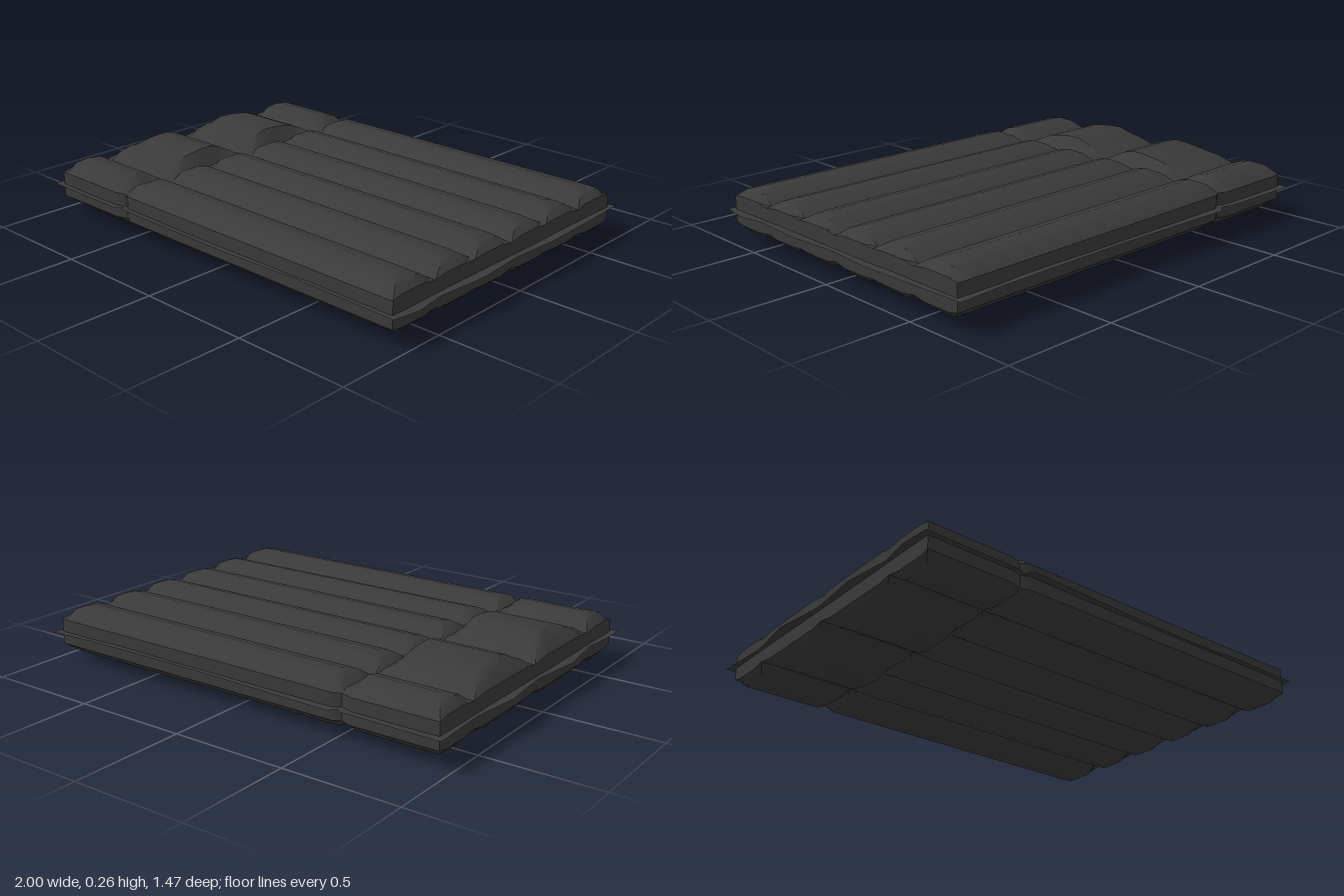
import * as THREE from 'three';
import { toCreasedNormals } from 'three/addons/utils/BufferGeometryUtils.js';

const MID = 0.132; // height of the welded seam plane

// Half-thickness profiles across one half of the width (mirrored in z)
const Z = [0, 0.06, 0.115, 0.17, 0.232, 0.29, 0.345, 0.4, 0.465, 0.525, 0.585, 0.65, 0.7];
const TUBES = [0.053, 0.095, 0.11, 0.097, 0.06, 0.097, 0.11, 0.095, 0.055, 0.094, 0.11, 0.094, 0.055];
const PILLOW = [0.053, 0.088, 0.116, 0.132, 0.13, 0.123, 0.112, 0.09, 0.055, 0.094, 0.11, 0.094, 0.055];

// Stations along the length: position, profile, thickness limit, half width
const STATIONS = [
  [-0.957, PILLOW, 0.065, 0.698],
  [-0.925, PILLOW, 0.1, 0.7],
  [-0.885, PILLOW, 1, 0.7],
  [-0.58, PILLOW, 1, 0.7],
  [-0.53, TUBES, 0.068, 0.683],
  [-0.5, TUBES, 0.092, 0.7],
  [-0.46, TUBES, 1, 0.7],
  [0.86, TUBES, 1, 0.7],
  [0.92, TUBES, 0.092, 0.7],
  [0.95, TUBES, 0.065, 0.698],
];

function quad(out, a, b, c, d) {
  for (const p of [a, b, c, a, c, d]) out.push(...p);
}

function toGeometry(positions) {
  const g = new THREE.BufferGeometry();
  g.setAttribute('position', new THREE.Float32BufferAttribute(positions, 3));
  return g;
}

// Closed cross-section: over the top towards +z, back along the underside
function section([x, profile, limit, halfWidth]) {
  const top = [];
  for (let k = -(Z.length - 1); k < Z.length; k++) {
    const i = Math.abs(k);
    const z = Math.sign(k) * Math.min(Z[i], halfWidth);
    top.push([x, Math.min(profile[i], limit), z]);
  }
  const ring = [
    ...top.map(([px, h, z]) => [px, MID + h, z]),
    ...top.slice().reverse().map(([px, h, z]) => [px, MID - h, z]),
  ];
  return ring;
}

function inflatedBody() {
  const rings = STATIONS.map(section);
  const n = rings[0].length;
  const out = [];
  for (let i = 0; i < rings.length - 1; i++) {
    for (let j = 0; j < n; j++) {
      const k = (j + 1) % n;
      quad(out, rings[i][j], rings[i][k], rings[i + 1][k], rings[i + 1][j]);
    }
  }
  // End walls
  const first = rings[0], last = rings[rings.length - 1];
  for (let j = 0; j < n / 2 - 1; j++) {
    quad(out, last[n - 1 - j], last[j], last[j + 1], last[n - 2 - j]);
    quad(out, first[n - 2 - j], first[j + 1], first[j], first[n - 1 - j]);
  }
  return toCreasedNormals(toGeometry(out), 0.65);
}

// Thin wavy weld flange around the body
function weldFlange() {
  const outline = [ // x, z, lift
    [-0.985, -0.735, 0], [-0.56, -0.735, 0.004], [-0.53, -0.708, 0], [-0.5, -0.735, -0.004],
    [0.1, -0.722, 0], [0.5, -0.735, 0.008], [0.75, -0.722, 0], [0.97, -0.735, 0],
    [0.985, -0.45, 0.003], [0.985, -0.23, -0.003], [0.975, 0, 0], [0.997, 0.23, 0.003],
    [0.975, 0.465, 0], [0.99, 0.6, -0.004], [0.975, 0.722, 0],
    [0.6, 0.722, 0.004], [0.5, 0.713, 0], [0.1, 0.722, -0.004], [-0.5, 0.732, 0.006],
    [-0.53, 0.703, 0], [-0.56, 0.725, -0.004], [-0.985, 0.725, 0],
    [-0.99, 0.6, 0.003], [-0.972, 0.465, 0], [-1, 0.25, -0.003], [-0.975, 0, 0],
    [-1, -0.25, 0.003], [-0.972, -0.465, 0],
  ];
  const outer = outline.map(([x, z, y]) => [x, MID + y, z]);
  const inner = outline.map(([x, z]) => [
    THREE.MathUtils.clamp(x, -0.94, 0.93), MID, THREE.MathUtils.clamp(z, -0.675, 0.675),
  ]);
  const out = [];
  for (let i = 0; i < outer.length; i++) {
    const k = (i + 1) % outer.length;
    quad(out, outer[i], inner[i], inner[k], outer[k]);
  }
  const g = toGeometry(out);
  g.computeVertexNormals();
  return g;
}

export function createModel() {
  const group = new THREE.Group();
  group.name = 'airMattress';

  const body = new THREE.Mesh(inflatedBody(), new THREE.MeshStandardMaterial({ color: 0x3a3a3a }));
  body.name = 'inflatedBody';

  const flange = new THREE.Mesh(
    weldFlange(),
    new THREE.MeshStandardMaterial({ color: 0x3a3a3a, side: THREE.DoubleSide }),
  );
  flange.name = 'weldFlange';

  group.add(body, flange);
  return group;
}
